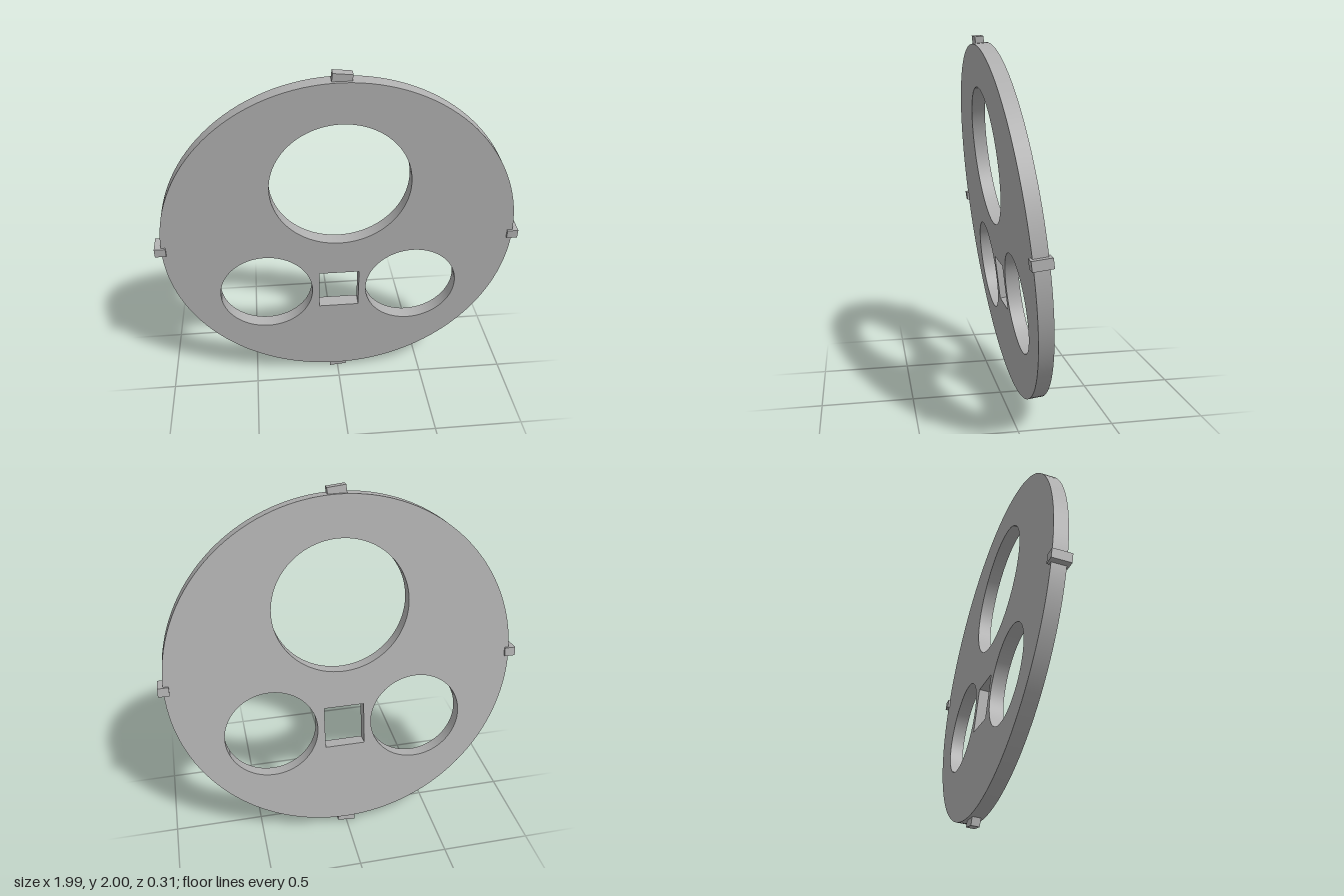
import * as THREE from 'three';

const TILT = 0.1225;
const RADIUS = 0.963;
const DEPTH = 0.075;

export function createModel() {
  const group = new THREE.Group();
  group.name = 'tiltedDisc';
  const grey = new THREE.MeshStandardMaterial({ color: 0xb0b0b0 });
  grey.name = 'grey';

  // Round plate with three circular windows and one rectangular slot
  const shape = new THREE.Shape().absarc(0, 0, RADIUS, 0, Math.PI * 2, false);
  for (const [x, y, r] of [[0, 0.367, 0.372], [-0.413, -0.343, 0.26], [0.413, -0.343, 0.26]]) {
    shape.holes.push(new THREE.Path().absarc(x, y, r, 0, Math.PI * 2, true));
  }
  const w = 0.1125, h = 0.125, cy = -0.346;
  shape.holes.push(new THREE.Path([
    new THREE.Vector2(-w, cy - h), new THREE.Vector2(-w, cy + h),
    new THREE.Vector2(w, cy + h), new THREE.Vector2(w, cy - h),
  ]));
  const geometry = new THREE.ExtrudeGeometry(shape, { depth: DEPTH, bevelEnabled: false, curveSegments: 64 });
  geometry.translate(0, 0, -DEPTH / 2);

  // Smooth the curved walls: radial normals about whichever circle a wall vertex lies on
  const circles = [[0, 0, RADIUS, 1], [0, 0.367, 0.372, -1], [-0.413, -0.343, 0.26, -1], [0.413, -0.343, 0.26, -1]];
  const pos = geometry.attributes.position, normal = geometry.attributes.normal;
  for (let i = 0; i < pos.count; i++) {
    if (Math.abs(normal.getZ(i)) > 0.5) continue;
    for (const [x, y, r, sign] of circles) {
      const dx = pos.getX(i) - x, dy = pos.getY(i) - y;
      if (Math.abs(Math.hypot(dx, dy) - r) < 1e-4) normal.setXYZ(i, sign * dx / r, sign * dy / r, 0);
    }
  }
  const plate = new THREE.Mesh(geometry, grey);
  plate.name = 'plate';
  group.add(plate);

  // Small lugs around the rim, sunk slightly into the plate
  function addLug(name, size, position, roll) {
    const lug = new THREE.Mesh(new THREE.BoxGeometry(...size), grey);
    lug.name = name;
    lug.position.set(...position);
    lug.rotation.z = roll;
    group.add(lug);
  }
  addLug('topLug', [0.1, 0.06, 0.045], [0, 0.97, 0], -0.1);
  addLug('bottomLug', [0.1, 0.06, 0.045], [0, -0.97, 0], 0.1);
  addLug('leftLug', [0.06, 0.05, 0.1], [0.963, 0, 0], 0);
  addLug('rightLug', [0.06, 0.05, 0.1], [-0.968, 0, 0], 0);

  group.rotation.x = TILT;
  group.position.y = 1;
  const model = new THREE.Group();
  model.name = 'model';
  model.add(group);
  return model;
}
